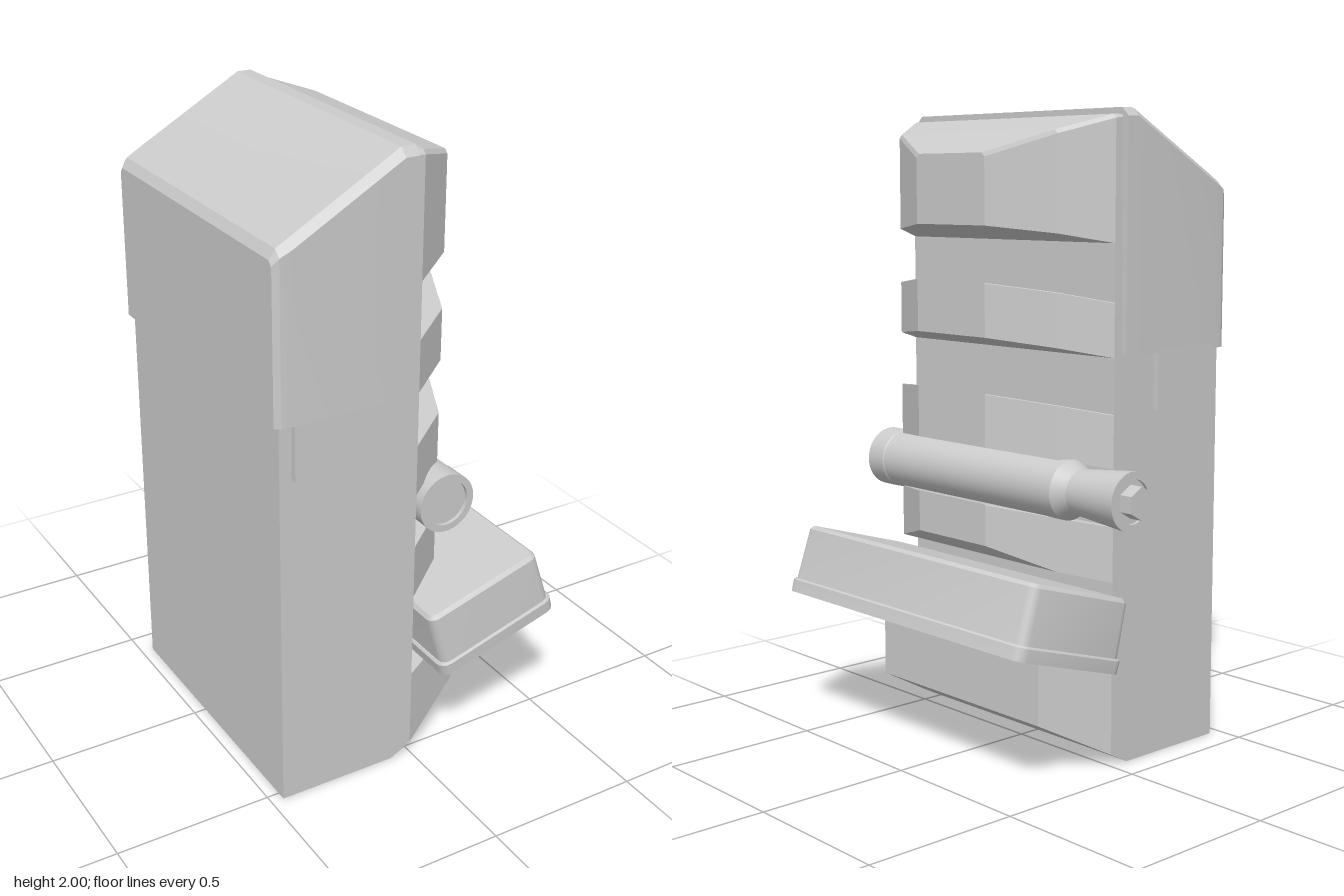
import * as THREE from 'three';
import { toCreasedNormals } from 'three/addons/utils/BufferGeometryUtils.js';

const MID = 0.06; // z centre of the pack
const material = new THREE.MeshStandardMaterial({ color: 0xcccccc });

// Skin a row of convex rings (equal point counts) and cap both ends.
function loft(rings, crease = 0.1) {
  const pos = [];
  const tri = (a, b, c) => pos.push(...a, ...b, ...c);
  const n = rings[0].length;
  for (let i = 0; i < rings.length - 1; i++) {
    for (let j = 0; j < n; j++) {
      const k = (j + 1) % n;
      const a = rings[i][j], b = rings[i][k], c = rings[i + 1][k], d = rings[i + 1][j];
      tri(a, b, c);
      tri(a, c, d);
    }
  }
  const first = rings[0], last = rings[rings.length - 1];
  for (let j = 1; j < n - 1; j++) {
    tri(first[0], first[j + 1], first[j]);
    tri(last[0], last[j], last[j + 1]);
  }
  const geo = new THREE.BufferGeometry();
  geo.setAttribute('position', new THREE.Float32BufferAttribute(pos, 3));
  return toCreasedNormals(geo, crease);
}

// Upright section at x: half width w, bottom to top, chamfered upper corners.
const section = (x, w, bottom, top, c = 0.002) => [
  [x, bottom, -w], [x, top - c, -w], [x, top, -w + c],
  [x, top, w - c], [x, top - c, w], [x, bottom, w],
];

// Level rounded rectangle at height y.
function roundedRing(y, hx, hz, r) {
  const ring = [];
  [[1, 1], [1, -1], [-1, -1], [-1, 1]].forEach(([sz, sx], q) => {
    // corners visited counter-clockwise about +y
    const cornerX = [1, 1, -1, -1][q], cornerZ = [1, -1, -1, 1][q];
    for (let s = 0; s <= 4; s++) {
      const a = (q + s / 4) * Math.PI / 2;
      ring.push([cornerX * (hx - r) + r * Math.sin(a), y, cornerZ * (hz - r) + r * Math.cos(a)]);
    }
  });
  return ring;
}

// Turned part lying along z; points are [radius, z].
function turned(points, segments = 40) {
  const geo = new THREE.LatheGeometry(points.map(([r, z]) => new THREE.Vector2(r, z)), segments);
  return toCreasedNormals(geo.rotateX(Math.PI / 2), 0.4);
}

export function createModel() {
  const model = new THREE.Group();
  model.name = 'fieldPack';
  const pack = new THREE.Group();
  pack.name = 'pack';
  pack.position.z = MID;
  model.add(pack);

  const add = (parent, name, geo) => {
    const mesh = new THREE.Mesh(geo, material);
    mesh.name = name;
    parent.add(mesh);
    return mesh;
  };

  // Main body with sloping top
  add(pack, 'body', loft([
    section(-0.46, 0.47, 0, 1.75),
    section(-0.07, 0.47, 0, 1.98),
    section(0, 0.47, 0.037, 1.98, 0.012),
  ]));

  // Lower block with a slanted underside
  add(pack, 'lowerBlock', loft([
    section(0, 0.47, 0.037, 0.3),
    section(0.22, 0.375, 0.155, 0.357),
  ]));

  // Faceted ribs: bottom and top heights at three depths
  const depth = [0, 0.14, 0.24], width = [0.47, 0.37, 0.16];
  const ribs = [
    { bottom: [1.605, 1.634, 1.655], top: [1.98, 1.935, 1.87], chamfer: 0.012 },
    { bottom: [1.265, 1.297, 1.32], top: [1.43, 1.462, 1.485] },
    { bottom: [0.93, 0.962, 0.985], top: [1.095, 1.127, 1.15] },
    { bottom: [0.58, 0.62, 0.68], top: [0.755, 0.787, 0.81] },
  ];
  ribs.forEach(({ bottom, top, chamfer }, i) => {
    add(pack, `rib${i + 1}`, loft(depth.map((x, k) => section(x, width[k], bottom[k], top[k], chamfer))));
  });

  // Lid cap with a tab on each side
  add(pack, 'lid', loft([
    section(-0.478, 0.475, 1.27, 1.755, 0.015),
    section(-0.46, 0.486, 1.27, 1.785, 0.022),
    section(-0.42, 0.49, 1.27, 1.808, 0.025),
    section(-0.075, 0.49, 1.27, 2, 0.025),
    section(-0.03, 0.49, 1.27, 2, 0.025),
  ]));
  for (const side of [-1, 1]) {
    const tab = add(pack, side > 0 ? 'frontTab' : 'backTab', new THREE.BoxGeometry(0.25, 0.19, 0.03));
    tab.position.set(-0.295, 1.19, side * 0.475);
  }

  // Cylinder tool lying between two ribs
  const tool = new THREE.Group();
  tool.name = 'tool';
  tool.position.set(0.112, 0.872, 0);
  model.add(tool);
  add(tool, 'toolBarrel', turned([
    [0, -0.395], [0.066, -0.395], [0.074, -0.375], [0.092, -0.345], [0.092, 0.45],
    [0.095, 0.455], [0.095, 0.53], [0.073, 0.53], [0.073, 0.518], [0, 0.518],
  ]));
  add(tool, 'toolHead', turned([
    [0, -0.59], [0.066, -0.59], [0.066, -0.6], [0.09, -0.6], [0.07, -0.392], [0, -0.392],
  ]));
  const knob = add(tool, 'toolKnob', new THREE.CylinderGeometry(0.05, 0.05, 0.05, 6).rotateX(Math.PI / 2));
  knob.position.z = -0.61;
  knob.material = new THREE.MeshStandardMaterial({ color: 0xcccccc, flatShading: true });

  // Tilted box with a rim around its base
  const box = new THREE.Group();
  box.name = 'box';
  box.position.set(0.264, 0.385, 0.065);
  box.rotation.z = 0.29;
  model.add(box);
  add(box, 'boxRim', loft([
    roundedRing(0, 0.218, 0.568, 0.035),
    roundedRing(0.04, 0.218, 0.57, 0.035),
    roundedRing(0.046, 0.212, 0.565, 0.03),
  ], 0.5));
  add(box, 'boxShell', loft([
    roundedRing(0.04, 0.208, 0.563, 0.03),
    roundedRing(0.213, 0.205, 0.556, 0.03),
    roundedRing(0.225, 0.194, 0.545, 0.02),
  ], 0.5));

  return model;
}
